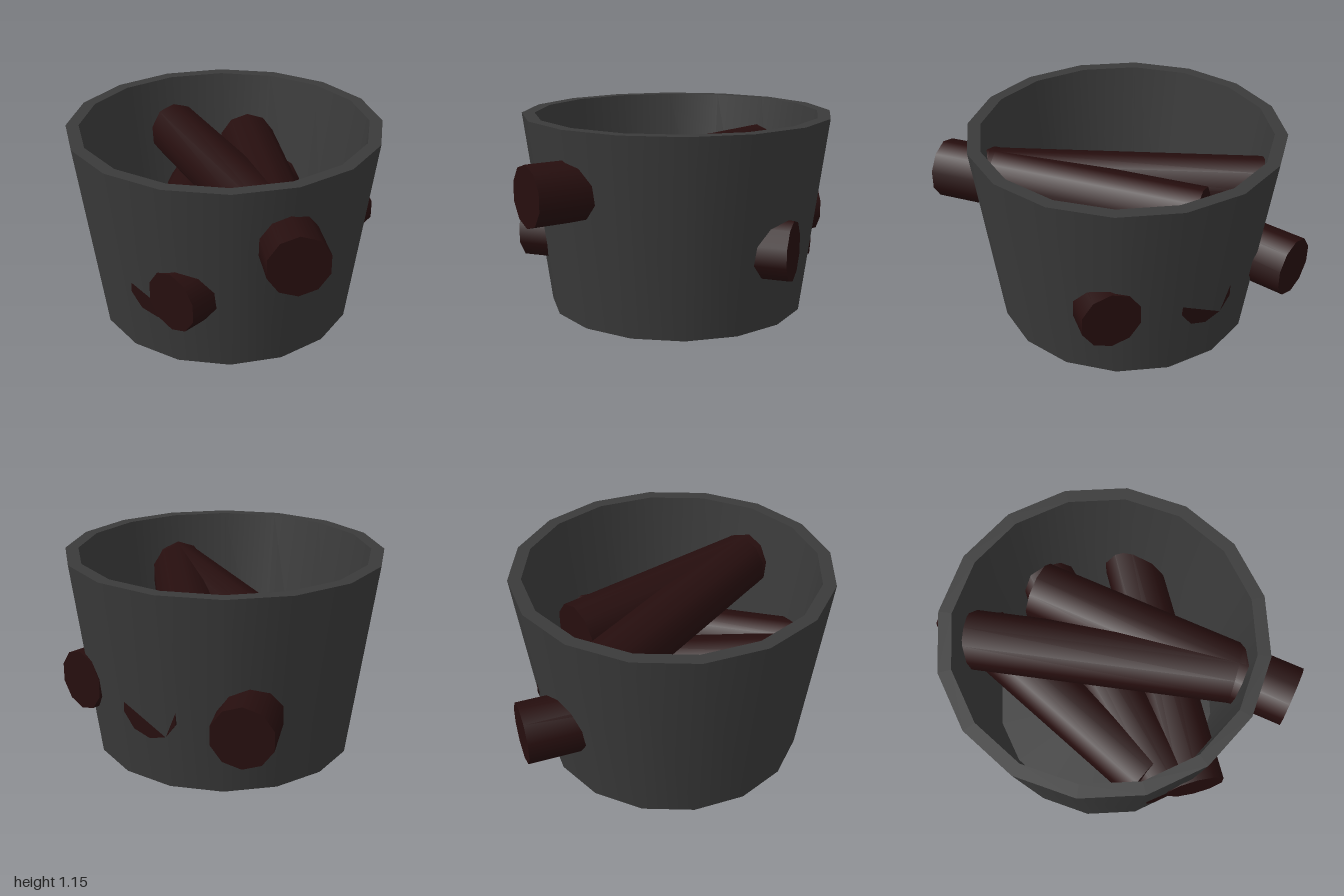
import * as THREE from 'three';

const CENTRE_X = -0.075;

export function createModel() {
  const model = new THREE.Group();
  const iron = new THREE.MeshStandardMaterial({ color: 0x3a3a3a });
  iron.name = 'dark iron';
  const wood = new THREE.MeshStandardMaterial({ color: 0x260e0e });
  wood.name = 'dark wood';

  // Bucket: each profile segment is its own surface, so the rims stay sharp
  const bucket = new THREE.Group();
  bucket.name = 'bucket';
  bucket.position.x = CENTRE_X;
  const profile = [[0, 0], [0.765, 0], [0.915, 1.15], [0.84, 1.15], [0.69, 0.02], [0, 0.02]]
    .map(([r, y]) => new THREE.Vector2(r, y));
  ['underside', 'outerWall', 'rim', 'innerWall', 'floor'].forEach((name, i) => {
    const part = new THREE.Mesh(new THREE.LatheGeometry([profile[i], profile[i + 1]], 16), iron);
    part.name = name;
    bucket.add(part);
  });
  model.add(bucket);

  // Logs: ten-sided, lying flat in two layers and poking through the wall
  const logGeometry = new THREE.CylinderGeometry(0.174, 0.174, 1.6, 10).rotateX(Math.PI / 2);
  const addLog = (name, offset, y, degrees) => {
    const log = new THREE.Mesh(logGeometry, wood);
    log.name = name;
    log.position.set(CENTRE_X + offset, y, 0);
    log.rotation.y = THREE.MathUtils.degToRad(degrees);
    model.add(log);
  };
  addLog('lowerLogLeft', 0.35, 0.46, 0);
  addLog('lowerLogMiddle', 0, 0.46, 15.3);
  addLog('lowerLogRight', -0.35, 0.46, 33.8);
  addLog('upperLogLeft', 0.35, 0.805, 51.4);
  addLog('upperLogMiddle', 0, 0.805, 68);

  return model;
}
